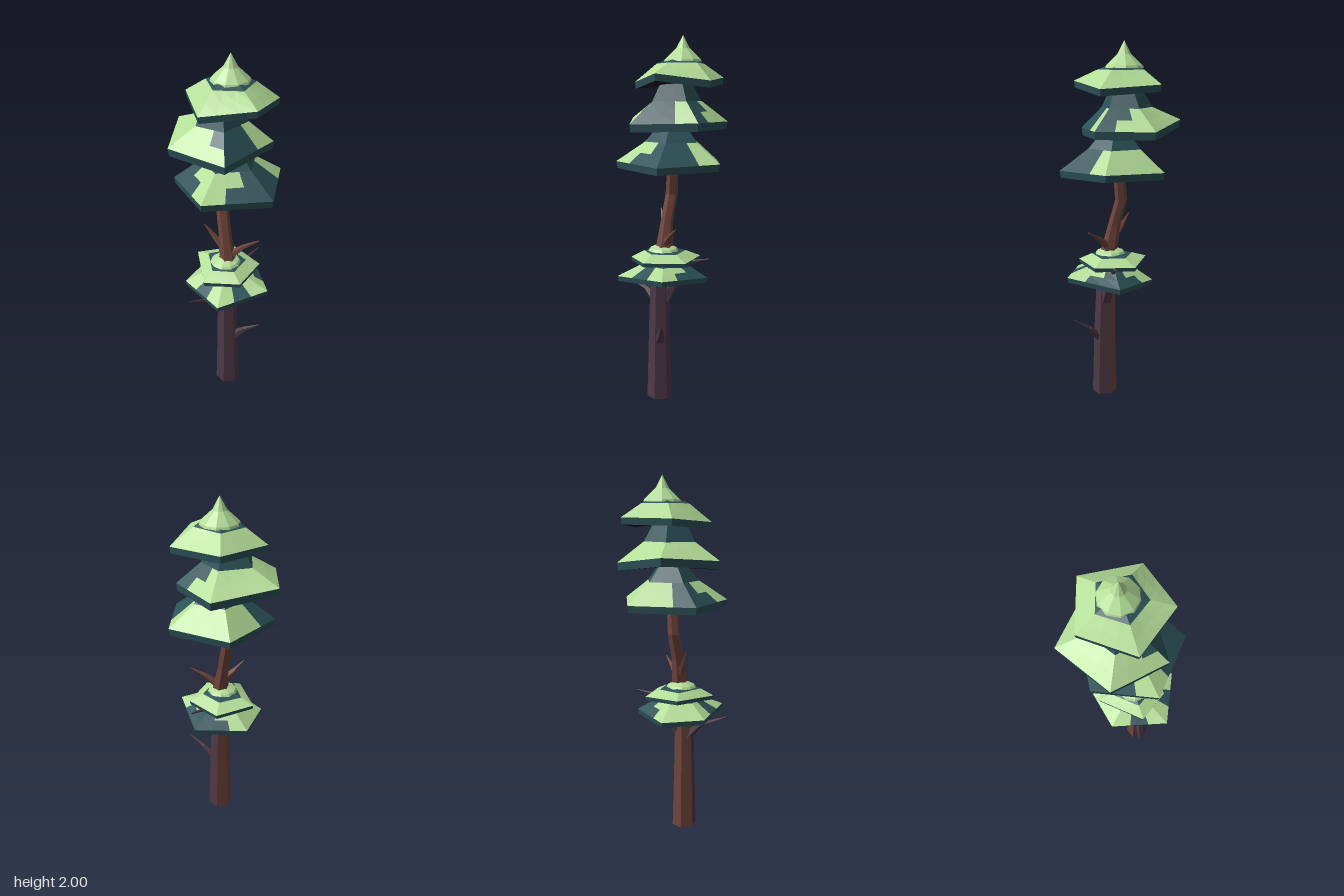
import * as THREE from 'three';

const mat = (name, color) => {
  const m = new THREE.MeshStandardMaterial({ color, flatShading: true });
  m.name = name;
  return m;
};

export function createModel() {
  const model = new THREE.Group();
  model.name = 'pineTree';
  const mats = {
    L: mat('lightNeedles', 0xb4de98),
    D: mat('darkNeedles', 0x2c5258),
    U: mat('undersideShadow', 0x1d1826),
    B: mat('redBrownBark', 0x70453c),
    P: mat('purpleBark', 0x4e3946),
  };
  const keys = Object.keys(mats);
  const V = (x, y, z) => new THREE.Vector3(x, y, z);

  // Joins rings from bottom to top; each row has one colour letter per quad, or one for all
  function loft(name, rings, rows) {
    const buckets = Object.fromEntries(keys.map(k => [k, []]));
    const n = rings[0].length;
    const tri = (out, a, b, c) => {
      const area = b.clone().sub(a).cross(c.clone().sub(a)).length();
      if (area > 1e-8) for (const p of [a, b, c]) out.push(p.x, p.y, p.z);
    };
    rows.forEach((row, r) => {
      for (let i = 0; i < n; i++) {
        const j = (i + 1) % n, a = rings[r], b = rings[r + 1];
        const out = buckets[row.length > 1 ? row[i] : row];
        tri(out, a[i], b[i], b[j]);
        tri(out, a[i], b[j], a[j]);
      }
    });
    const geo = new THREE.BufferGeometry(), pos = [], used = [];
    for (const k of keys) {
      if (!buckets[k].length) continue;
      geo.addGroup(pos.length / 3, buckets[k].length / 3, used.length);
      used.push(mats[k]);
      pos.push(...buckets[k]);
    }
    geo.setAttribute('position', new THREE.Float32BufferAttribute(pos, 3));
    geo.computeVertexNormals();
    const mesh = new THREE.Mesh(geo, used);
    mesh.name = name;
    model.add(mesh);
  }

  // Five-cornered foliage skirt; each side is split in three so patches can vary
  function tier(name, t) {
    const [cx, cz] = t.centre;
    const rim = [];
    t.corners.forEach((c, i) => {
      const d = t.corners[(i + 1) % t.corners.length];
      for (let k = 0; k < 3; k++) rim.push(V(...c).lerp(V(...d), k / 3));
    });
    const ring = (s, y) => rim.map(p => V(cx + (p.x - cx) * s, y, cz + (p.z - cz) * s));
    const shoulder = ring(t.shoulder[0], t.shoulder[1]);
    const top = ring(t.top[0], t.top[1]);
    const rimLow = rim.map(p => V(cx + (p.x - cx) * 0.98, p.y - t.rim, cz + (p.z - cz) * 0.98));
    const middle = rim.map((p, i) => p.clone().lerp(shoulder[i], 0.5));
    const lowY = rimLow.reduce((s, p) => s + p.y, 0) / rimLow.length;
    loft(name,
      [ring(0, lowY + 0.01), rimLow, rim, middle, shoulder, top, ring(0, t.top[1] + 0.005)],
      ['U', 'D', t.lower, t.upper, 'D', 'D']);
  }

  tier('crownSkirt', {
    centre: [-0.015, -0.04], rim: 0.036, shoulder: [0.53, 1.852], top: [0.38, 1.868],
    corners: [[0.247, 1.795, 0], [0.05, 1.755, 0.208], [-0.228, 1.775, 0.076],
      [-0.19, 1.78, -0.215], [0.124, 1.76, -0.256]],
    lower: 'L', upper: 'L',
  });
  tier('upperSkirt', {
    centre: [-0.015, 0], rim: 0.042, shoulder: [0.5, 1.655], top: [0.33, 1.745],
    corners: [[0.204, 1.535, 0.167], [-0.094, 1.56, 0.292], [-0.333, 1.585, 0.05],
      [-0.158, 1.545, -0.253], [0.15, 1.545, -0.2]],
    lower: 'LLLLLLLLLLLDLDD', upper: 'DLLLLLLLLLDDLDD',
  });
  tier('middleSkirt', {
    centre: [0.02, -0.01], rim: 0.038, shoulder: [0.5, 1.44], top: [0.28, 1.52],
    corners: [[0.331, 1.325, -0.047], [0.15, 1.335, 0.275], [-0.19, 1.325, 0.195],
      [-0.217, 1.325, -0.174], [0.103, 1.335, -0.303]],
    lower: 'DDLLDDDLLLLLLDD', upper: 'DLLLLDDLLLLLLDD',
  });
  tier('smallSkirt', {
    centre: [0.05, 0.04], rim: 0.022, shoulder: [0.6, 0.835], top: [0.4, 0.845],
    corners: [[0.23, 0.8, 0.08], [0.09, 0.795, 0.22], [-0.15, 0.81, 0.08],
      [-0.07, 0.8, -0.13], [0.15, 0.8, -0.13]],
    lower: 'L', upper: 'L',
  });
  tier('lowestSkirt', {
    centre: [0.06, 0.03], rim: 0.028, shoulder: [0.52, 0.77], top: [0.35, 0.785],
    corners: [[0.3, 0.73, -0.06], [0.23, 0.715, 0.237], [-0.09, 0.7, 0.215],
      [-0.18, 0.69, 0], [0.02, 0.7, -0.21]],
    lower: 'LDLLDLLLLLDDDDL', upper: 'LDLLDLLLLLLDDLL',
  });

  // Rounder light caps on the crown and the small skirt
  function cap(name, profile, x, z) {
    const points = profile.map(([r, y]) => new THREE.Vector2(r, y));
    const mesh = new THREE.Mesh(new THREE.LatheGeometry(points, 10), mats.L);
    mesh.name = name;
    mesh.position.set(x, 0, z);
    model.add(mesh);
  }
  cap('crownTip', [[0.105, 1.86], [0.1, 1.872], [0.038, 1.93], [0, 2]], -0.015, -0.047);
  cap('smallCap', [[0.085, 0.842], [0.075, 0.855], [0.03, 0.875]], 0.055, 0.04);

  // Six-sided crooked trunk: [x, y, z, radius]
  const hex = ([x, y, z, r]) => Array.from({ length: 6 }, (_, i) =>
    V(x + r * Math.cos(i * Math.PI / 3), y, z + r * Math.sin(i * Math.PI / 3)));
  const bark = 'PPBBPP';
  loft('lowerTrunk', [
    [0.09, 0, 0.05, 0], [0.09, 0, 0.05, 0.07], [0.088, 0.38, 0.05, 0.06],
    [0.08, 0.7, 0.05, 0.052], [0.07, 0.82, 0.04, 0.05]].map(hex),
  ['B', bark, bark, bark]);
  loft('upperTrunk', [
    [0.07, 0.82, 0.04, 0.05], [0.058, 0.88, 0.03, 0.045], [0.035, 1, 0.027, 0.035],
    [-0.005, 1.15, 0.015, 0.034], [0.012, 1.33, 0, 0.031]].map(hex),
  ['B', 'B', 'B', 'B']);

  // Tapered branches along short paths, ending in a point
  function branch(name, material, radius, path) {
    const group = new THREE.Group();
    group.name = name;
    const last = path.length - 1;
    for (let i = 0; i < last; i++) {
      const a = V(...path[i]), b = V(...path[i + 1]), dir = b.clone().sub(a);
      const size = k => Math.max(0.003, radius * (1 - k / last));
      const mesh = new THREE.Mesh(
        new THREE.CylinderGeometry(size(i + 1), size(i), dir.length(), 5), material);
      mesh.name = name + 'Piece';
      mesh.position.copy(a).lerp(b, 0.5);
      mesh.quaternion.setFromUnitVectors(V(0, 1, 0), dir.normalize());
      group.add(mesh);
    }
    model.add(group);
  }
  branch('leftBranch', mats.P, 0.03, [[0.11, 0.33, 0.04], [0.18, 0.405, 0], [0.265, 0.472, -0.04]]);
  branch('frontBranch', mats.P, 0.034, [[0.075, 0.54, 0.06], [0.065, 0.62, 0.14], [0.06, 0.685, 0.302]]);
  branch('backBranch', mats.P, 0.036, [[0.08, 0.57, 0.02], [0.06, 0.7, -0.05], [0.045, 0.785, -0.11], [0.035, 0.81, -0.222]]);
  branch('upperLeftBranch', mats.B, 0.028, [[0.06, 0.87, 0.03], [0.12, 0.94, -0.03], [0.183, 0.99, -0.09]]);
  branch('upperRightBranch', mats.B, 0.028, [[0.045, 0.92, 0.035], [-0.01, 0.99, 0.07], [-0.055, 1.058, 0.1]]);

  return model;
}
